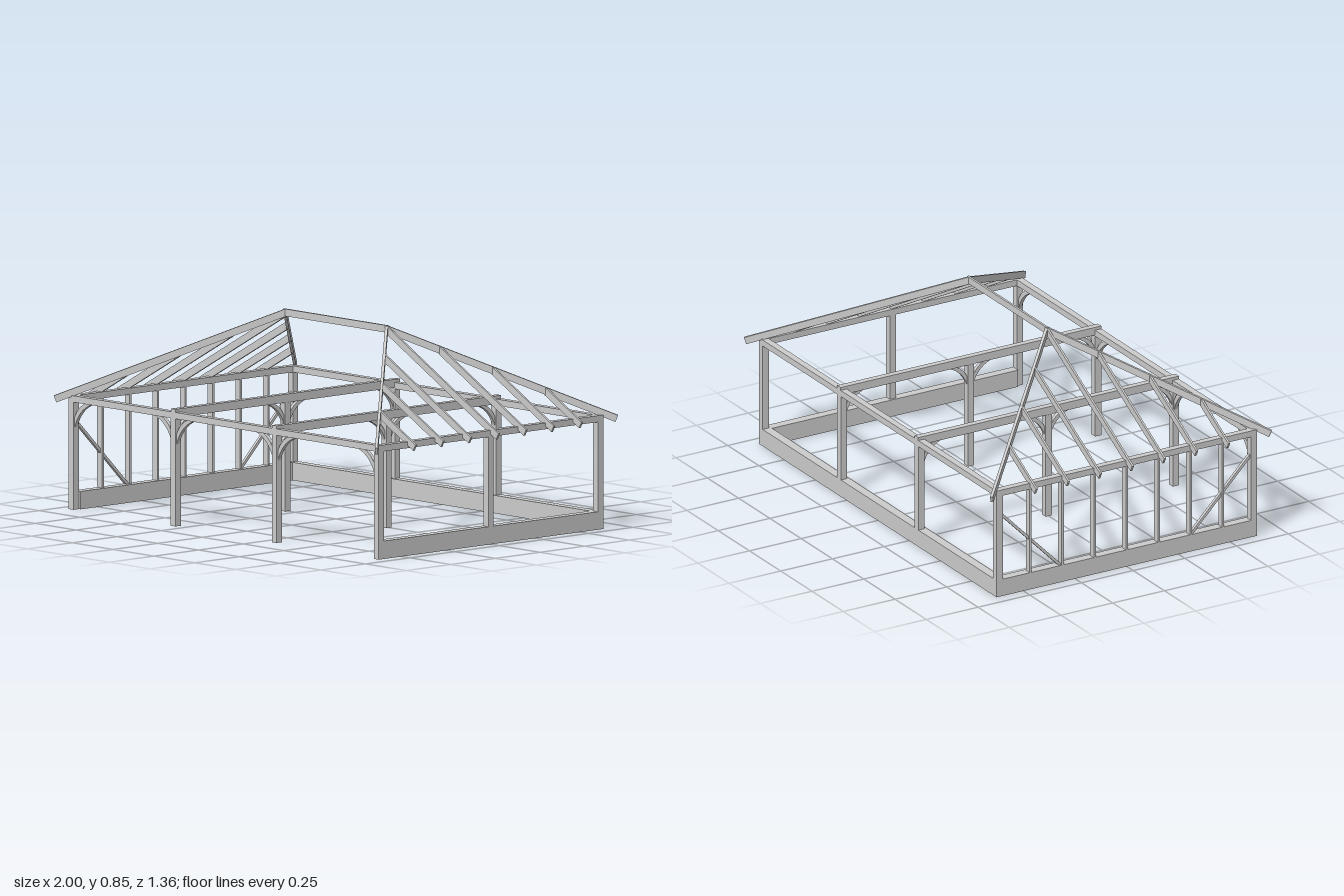
import * as THREE from 'three';

const SILL = 0.075, PLATE = 0.45, EAVE = 0.477, TIE = 0.455, T = 0.03;
const HX = 0.95, HZ = 0.63, BAY = 0.31, RIDGE = 0.845, PITCH = 0.545;

export function createModel() {
  const model = new THREE.Group();
  const material = new THREE.MeshStandardMaterial({ color: 0xcccccc, flatShading: true });

  const add = (name, geometry) => {
    const mesh = new THREE.Mesh(geometry, material);
    mesh.name = name;
    model.add(mesh);
    return mesh;
  };

  // Timber given by its min and max on each axis
  const timber = (name, x0, x1, y0, y1, z0, z1) => {
    const mesh = add(name, new THREE.BoxGeometry(x1 - x0, y1 - y0, z1 - z0));
    mesh.position.set((x0 + x1) / 2, (y0 + y1) / 2, (z0 + z1) / 2);
    return mesh;
  };
  const post = (name, x, z, y0, y1) =>
    timber(name, x - T / 2, x + T / 2, y0, y1, z - T / 2, z + T / 2);

  // Flat outline extruded about its own middle plane
  const slab = (name, shape, depth, x, y, z, turn) => {
    const geometry = new THREE.ExtrudeGeometry(shape, { depth, bevelEnabled: false, curveSegments: 10 });
    geometry.translate(0, 0, -depth / 2);
    const mesh = add(name, geometry);
    mesh.position.set(x, y, z);
    mesh.rotation.y = turn;
  };

  // Curved knee brace in the corner of a post and a beam
  const kneeBrace = (name, size, x, y, z, turn) => {
    const s = new THREE.Shape();
    s.moveTo(0, -size);
    s.quadraticCurveTo(size * 0.25, -size * 0.25, size, 0);
    s.lineTo(size * 0.6, 0);
    s.quadraticCurveTo(size * 0.18, -size * 0.18, 0, -size * 0.6);
    s.closePath();
    slab(name, s, 0.016, x, y, z, turn);
  };

  // Sloped rafter with a plumb upper cut and a square tail
  const rafter = (name, start, end, slope, thickness, x, z, turn) => {
    const depth = 0.03, n = Math.hypot(1, slope);
    const s = new THREE.Shape();
    s.moveTo(start, -slope * start);
    s.lineTo(start, -slope * start - depth * n);
    s.lineTo(end - depth * slope / n, -slope * end - depth / n);
    s.lineTo(end, -slope * end);
    s.closePath();
    slab(name, s, thickness, x, RIDGE, z, turn);
  };

  const px = HX - T / 2, pz = HZ - T / 2;

  // Sills along the back and both ends, front left open
  timber('backSill', -HX, HX, 0, SILL, -HZ, -HZ + 0.04);
  for (const s of [-1, 1]) {
    const x = s * (HX - 0.02);
    timber('endSill', x - 0.02, x + 0.02, 0, SILL, -HZ + 0.04, HZ - T);
    // Corner posts, end and long top plates
    post('frontCornerPost', s * px, pz, 0, PLATE);
    post('backCornerPost', s * px, -pz, SILL, PLATE);
    timber('endPlate', s * px - T / 2, s * px + T / 2, PLATE, EAVE, -HZ + T, HZ - T);
    timber('longPlate', -HX, HX, PLATE, EAVE, s * pz - T / 2, s * pz + T / 2);
    kneeBrace('frontCornerBrace', 0.105, s * (HX - T), PLATE, pz, s > 0 ? Math.PI : 0);
  }
  post('endMiddlePost', px, 0, SILL, PLATE);

  // Cross frames with three posts, a tie beam and knee braces
  for (const x of [-BAY, BAY]) {
    post('frontPost', x, pz, 0, PLATE);
    post('middlePost', x, 0, 0, TIE);
    post('backPost', x, -pz, SILL, PLATE);
    timber('tieBeam', x - 0.014, x + 0.014, TIE, 0.49, -HZ, HZ);
    for (const s of [-1, 1]) {
      kneeBrace('frontPostBrace', 0.105, x + s * T / 2, PLATE, pz, s > 0 ? 0 : Math.PI);
      kneeBrace('middleTieBrace', 0.09, x, TIE, s * T / 2, -s * Math.PI / 2);
      kneeBrace('outerTieBrace', 0.09, x, TIE, s * (HZ - T), s * Math.PI / 2);
    }
  }

  // Studs and diagonal braces in the closed end wall
  for (let i = -3; i <= 3; i++) {
    const z = i * 0.155;
    timber('stud', -HX, -HX + T, SILL, PLATE, z - 0.005, z + 0.005);
  }
  for (const s of [-1, 1]) {
    const rise = 0.29, run = 0.285;
    const brace = add('diagonalBrace', new THREE.BoxGeometry(0.014, Math.hypot(rise, run), 0.012));
    brace.position.set(-px, SILL + rise / 2, s * (0.318 + run / 2));
    brace.rotation.x = s * Math.atan2(run, rise);
  }

  // Ridge, hips and jack rafters
  timber('ridgeBeam', -BAY - 0.01, BAY + 0.01, 0.815, RIDGE, -0.005, 0.005);
  for (const sx of [-1, 1]) {
    const turn = sx > 0 ? 0 : Math.PI;
    for (const sz of [-1, 1]) {
      rafter('hipRafter', 0, 0.678 * Math.SQRT2, PITCH / Math.SQRT2, 0.012,
        sx * BAY, 0, Math.atan2(-sz, sx));
    }
    for (let i = -3; i <= 3; i++) {
      const z = i * 0.155;
      rafter('jackRafter', Math.abs(z), 1 - BAY, PITCH, 0.009, sx * BAY, z, turn);
    }
  }
  return model;
}
